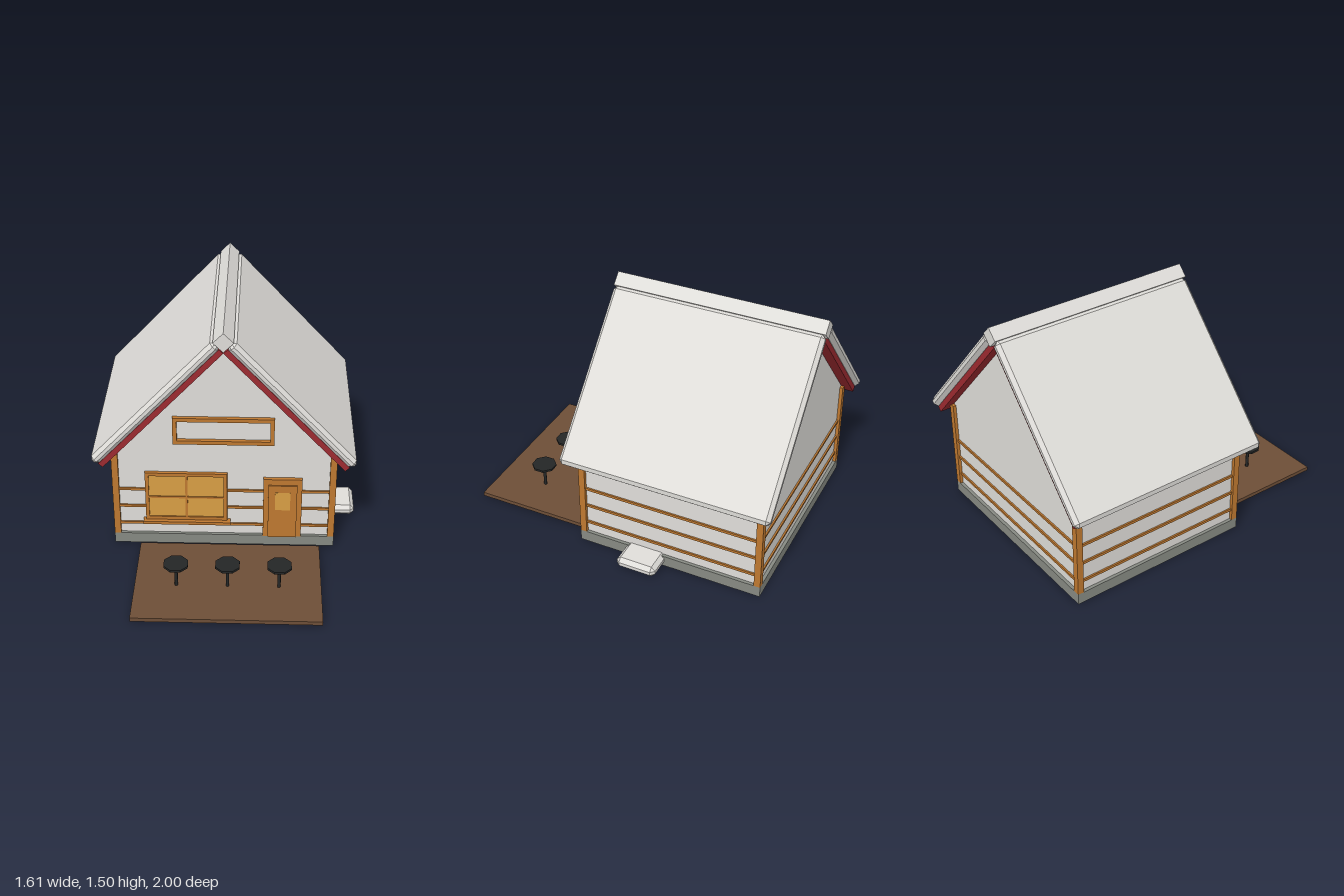
import * as THREE from 'three';
import { ConvexGeometry } from 'three/addons/geometries/ConvexGeometry.js';

const mat = (name, color) => {
  const m = new THREE.MeshStandardMaterial({ color });
  m.name = name;
  return m;
};

// Box with every edge cut by one flat chamfer
function chamferBox(w, h, d, c) {
  const pts = [];
  const half = [w / 2, h / 2, d / 2];
  for (const sx of [-1, 1]) for (const sy of [-1, 1]) for (const sz of [-1, 1]) {
    for (let axis = 0; axis < 3; axis++) {
      const p = half.map((v, i) => (i === axis ? v : v - c));
      pts.push(new THREE.Vector3(p[0] * sx, p[1] * sy, p[2] * sz));
    }
  }
  return new ConvexGeometry(pts);
}

export function createModel() {
  const house = new THREE.Group();
  house.name = 'house';

  const white = mat('white plaster', 0xdfddd9);
  const wood = mat('orange wood', 0xbe7830);
  const glass = mat('amber glass', 0xd89e45);
  const red = mat('red trim', 0x9c2a30);
  const stone = mat('grey stone', 0x868982);
  const deckWood = mat('brown deck', 0x6d4e37);
  const black = mat('black metal', 0x242626);

  const add = (name, geometry, material, x = 0, y = 0, z = 0, parent = house) => {
    const mesh = new THREE.Mesh(geometry, material);
    mesh.name = name;
    mesh.position.set(x, y, z);
    parent.add(mesh);
    return mesh;
  };
  // Box given by its limits on each axis
  const block = (name, material, x0, x1, y0, y1, z0, z1, parent) =>
    add(name, new THREE.BoxGeometry(x1 - x0, y1 - y0, z1 - z0), material,
      (x0 + x1) / 2, (y0 + y1) / 2, (z0 + z1) / 2, parent);
  // Rectangular frame with an open middle
  const frame = (name, material, x0, x1, y0, y1, z0, z1, b, parent) => {
    const rect = (P, i) => new P([
      new THREE.Vector2(x0 + i, y0 + i), new THREE.Vector2(x1 - i, y0 + i),
      new THREE.Vector2(x1 - i, y1 - i), new THREE.Vector2(x0 + i, y1 - i)]);
    const shape = rect(THREE.Shape, 0);
    shape.holes.push(rect(THREE.Path, b));
    add(name, new THREE.ExtrudeGeometry(shape, { depth: z1 - z0, bevelEnabled: false }),
      material, 0, 0, z0, parent);
  };
  const group = (name) => {
    const g = new THREE.Group();
    g.name = name;
    house.add(g);
    return g;
  };

  const cx = -0.02; // ridge line
  const [xL, xR, zB, zF] = [-0.70, 0.66, -0.93, 0.24];
  const inset = 0.02;

  // Base and gabled walls
  block('foundation', stone, xL, xR, 0, 0.07, zB, zF);
  const gable = new THREE.Shape([
    new THREE.Vector2(xL + inset, 0.07), new THREE.Vector2(xR - inset, 0.07),
    new THREE.Vector2(xR - inset, 0.655), new THREE.Vector2(cx, 1.37),
    new THREE.Vector2(xL + inset, 0.655)]);
  add('walls', new THREE.ExtrudeGeometry(gable, { depth: zF - zB - 2 * inset, bevelEnabled: false }),
    white, 0, 0, zB + inset);

  // Corner posts
  for (const x of [xL, xR - 0.04]) for (const z of [zB, zF - 0.04])
    block('cornerPost', wood, x, x + 0.04, 0.07, 0.648, z, z + 0.04);

  // Horizontal rails around all four walls
  const rails = group('wallRails');
  for (const y of [0.142, 0.268, 0.392]) {
    const [y0, y1] = [y - 0.008, y + 0.008];
    for (const z of [zB + 0.01, zF - 0.03])
      block('rail', wood, xL + 0.02, xR - 0.02, y0, y1, z, z + 0.02, rails);
    for (const x of [xL + 0.01, xR - 0.03])
      block('rail', wood, x, x + 0.02, y0, y1, zB + 0.02, zF - 0.02, rails);
  }

  // Sloping roof panels, each over a red lining
  const pitch = 0.822;
  for (const s of [-1, 1]) {
    const panel = add('roofPanel', chamferBox(1.089, 0.065, 1.305, 0.022), white,
      cx + s * 0.409, 1.024, -0.3475);
    const lining = add('roofLining', new THREE.BoxGeometry(1.064, 0.035, 1.26), red,
      cx + s * 0.375, 0.987, -0.345);
    panel.rotation.z = lining.rotation.z = -s * pitch;
  }
  const ridge = add('ridgeBeam', new THREE.BoxGeometry(0.085, 0.085, 1.305), white, cx, 1.44, -0.3475);
  ridge.rotation.z = Math.PI / 4;

  // Large front window
  const win = group('frontWindow');
  frame('windowFrame', wood, -0.50, 0, 0.18, 0.52, 0.21, 0.242, 0.022, win);
  block('windowGlass', glass, -0.49, -0.01, 0.19, 0.51, 0.226, 0.234, win);
  block('mullion', wood, -0.256, -0.242, 0.19, 0.51, 0.215, 0.24, win);
  block('crossbar', wood, -0.49, -0.01, 0.338, 0.35, 0.215, 0.24, win);
  block('windowSill', wood, -0.515, 0.02, 0.16, 0.18, 0.21, 0.268, win);

  // Long frame in the gable
  frame('gableFrame', wood, -0.325, 0.28, 0.73, 0.91, 0.21, 0.245, 0.025);

  // Front door
  const door = group('frontDoor');
  block('doorFrame', wood, 0.22, 0.455, 0.07, 0.49, 0.21, 0.246, door);
  block('doorPanel', wood, 0.25, 0.425, 0.07, 0.45, 0.22, 0.255, door);
  block('doorGlass', glass, 0.292, 0.384, 0.275, 0.402, 0.252, 0.258, door);

  // Low chamfered box beside the house
  add('sideUnit', chamferBox(0.20, 0.07, 0.25, 0.024), white, 0.705, 0.042, -0.195);

  // Deck with three round tables
  block('deck', deckWood, -0.535, 0.57, 0.005, 0.03, 0.285, 1.0);
  for (const x of [-0.287, 0.016, 0.32]) {
    const table = group('table');
    table.position.set(x, 0, 0.69);
    const top = new THREE.CylinderGeometry(0.077, 0.077, 0.014, 8).toNonIndexed();
    top.computeVertexNormals();
    add('tableTop', top, black, 0, 0.183, 0, table).rotation.y = Math.PI / 8;
    add('tableLeg', new THREE.CylinderGeometry(0.01, 0.01, 0.15, 8), black, 0, 0.103, 0, table);
  }
  return house;
}
